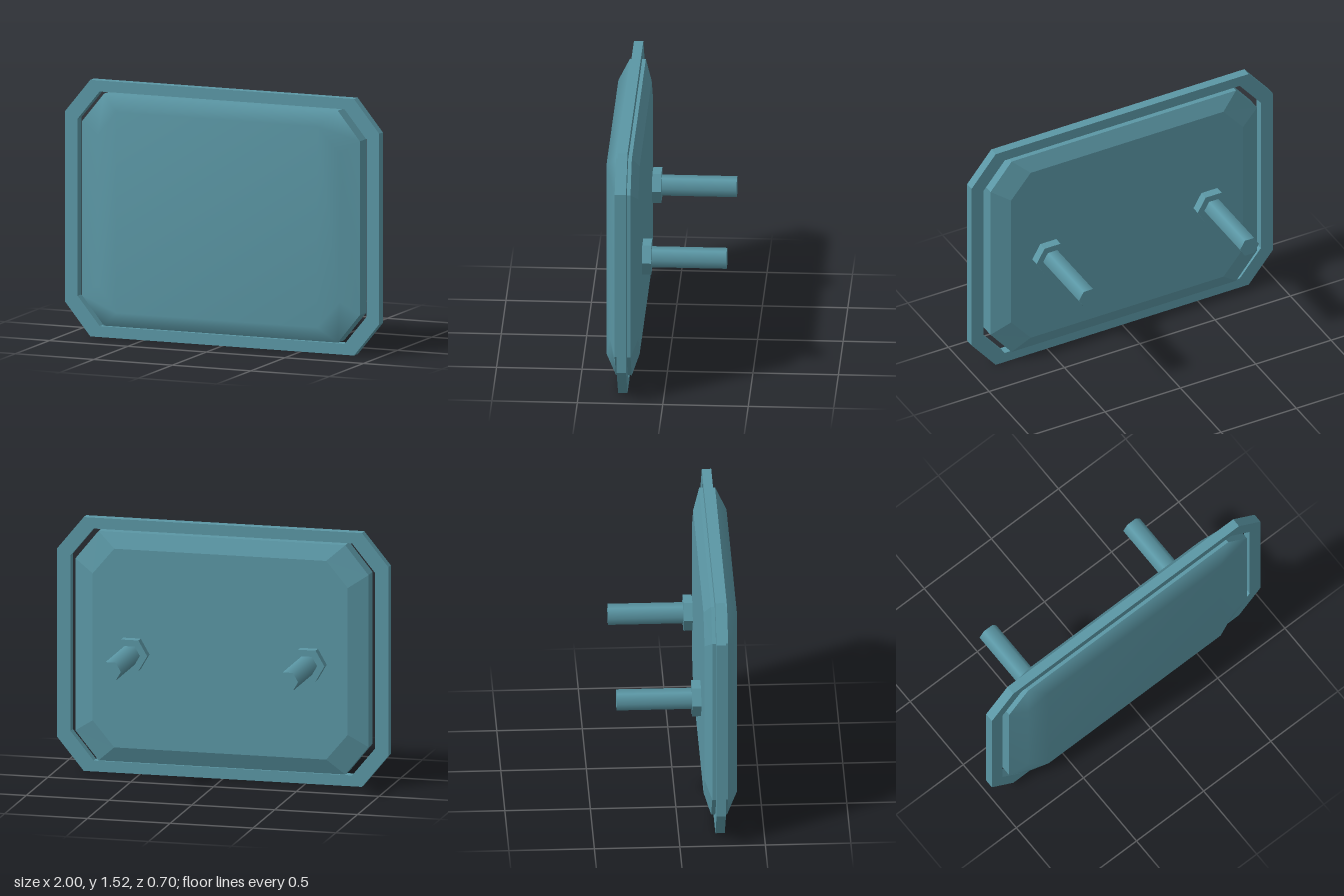
import * as THREE from 'three';

const MID_Y = 0.76;
const smooth = new THREE.MeshStandardMaterial({ color: 0x5b97a5 });
const flat = new THREE.MeshStandardMaterial({ color: 0x5b97a5, flatShading: true });

// Corners of a chamfered rectangle, counter-clockwise seen from +z:
// the sides sit at +-w, the top and bottom at +-h; (cx, cy) are where the chamfers start.
function octagon(w, h, cx, cy) {
  return [[w, -cy], [w, cy], [cx, h], [-cx, h], [-w, cy], [-w, -cy], [-cx, -h], [cx, -h]];
}

// Octagon ring in space; side corners and top/bottom corners may differ in depth.
function ring(w, h, cx, cy, zSide, zTop = zSide) {
  return octagon(w, h, cx, cy).map(([x, y]) => [x, y, Math.abs(x) === w ? zSide : zTop]);
}

// Joins rings running from back to front, optionally capping either end.
function loft(rings, capBack, capFront) {
  const index = [];
  for (let r = 0; r < rings.length - 1; r++) {
    for (let i = 0; i < 8; i++) {
      const a = r * 8 + i, b = r * 8 + (i + 1) % 8;
      index.push(a, b, b + 8, a, b + 8, a + 8);
    }
  }
  // Each cap is a centre panel with a strip on both sides
  const cap = [[0, 1, 2], [0, 2, 7], [2, 3, 6], [2, 6, 7], [3, 4, 5], [3, 5, 6]];
  const last = (rings.length - 1) * 8;
  for (const [a, b, c] of cap) {
    if (capBack) index.push(a, c, b);
    if (capFront) index.push(last + a, last + b, last + c);
  }
  const g = new THREE.BufferGeometry();
  g.setAttribute('position', new THREE.Float32BufferAttribute(rings.flat(2), 3));
  g.setIndex(index);
  g.computeVertexNormals();
  return g;
}

// Hexagonal prism along z with corners pointing to +-x
function hexPrism(radius, z0, z1) {
  return new THREE.CylinderGeometry(radius, radius, z1 - z0, 6)
    .rotateY(Math.PI / 6).rotateX(Math.PI / 2).translate(0, 0, (z0 + z1) / 2);
}

function add(parent, name, geometry, material) {
  const mesh = new THREE.Mesh(geometry, material);
  mesh.name = name;
  parent.add(mesh);
  return mesh;
}

export function createModel() {
  const model = new THREE.Group();
  model.name = 'chamferedPanel';

  // Surrounding frame
  const toPoints = (list) => list.map(([x, y]) => new THREE.Vector2(x, y));
  const outline = new THREE.Shape(toPoints(octagon(1, 0.76, 0.84, 0.565)));
  outline.holes.push(new THREE.Path(toPoints(octagon(0.92, 0.695, 0.78, 0.525))));
  const frame = new THREE.ExtrudeGeometry(outline, { depth: 0.055, bevelEnabled: false });
  add(model, 'frame', frame.translate(0, MID_Y, 0.215), flat);

  // Panel housing: flat back, bevelled rim and straight edge band
  const panel = new THREE.Group();
  panel.name = 'panel';
  panel.position.y = MID_Y;
  model.add(panel);
  const bandBack = ring(0.885, 0.687, 0.745, 0.515, 0.195);
  const bandFront = ring(0.885, 0.687, 0.745, 0.515, 0.288);
  add(panel, 'housing', loft([ring(0.77, 0.595, 0.64, 0.44, 0.155), bandBack, bandFront], true, false), flat);

  // Softly domed front face, its sides falling back
  add(panel, 'frontFace', loft([bandFront, ring(0.77, 0.595, 0.64, 0.44, 0.322, 0.35)], false, true), smooth);

  // Two mounting bolts with hexagonal nuts behind the panel
  for (const [side, x] of [['left', 0.53], ['right', -0.54]]) {
    const bolt = new THREE.Group();
    bolt.name = side + 'Bolt';
    bolt.position.set(x, 0.737, 0);
    add(bolt, side + 'Shaft', hexPrism(0.062, -0.35, 0.092), smooth);
    add(bolt, side + 'Nut', hexPrism(0.106, 0.09, 0.143), flat);
    model.add(bolt);
  }
  return model;
}
